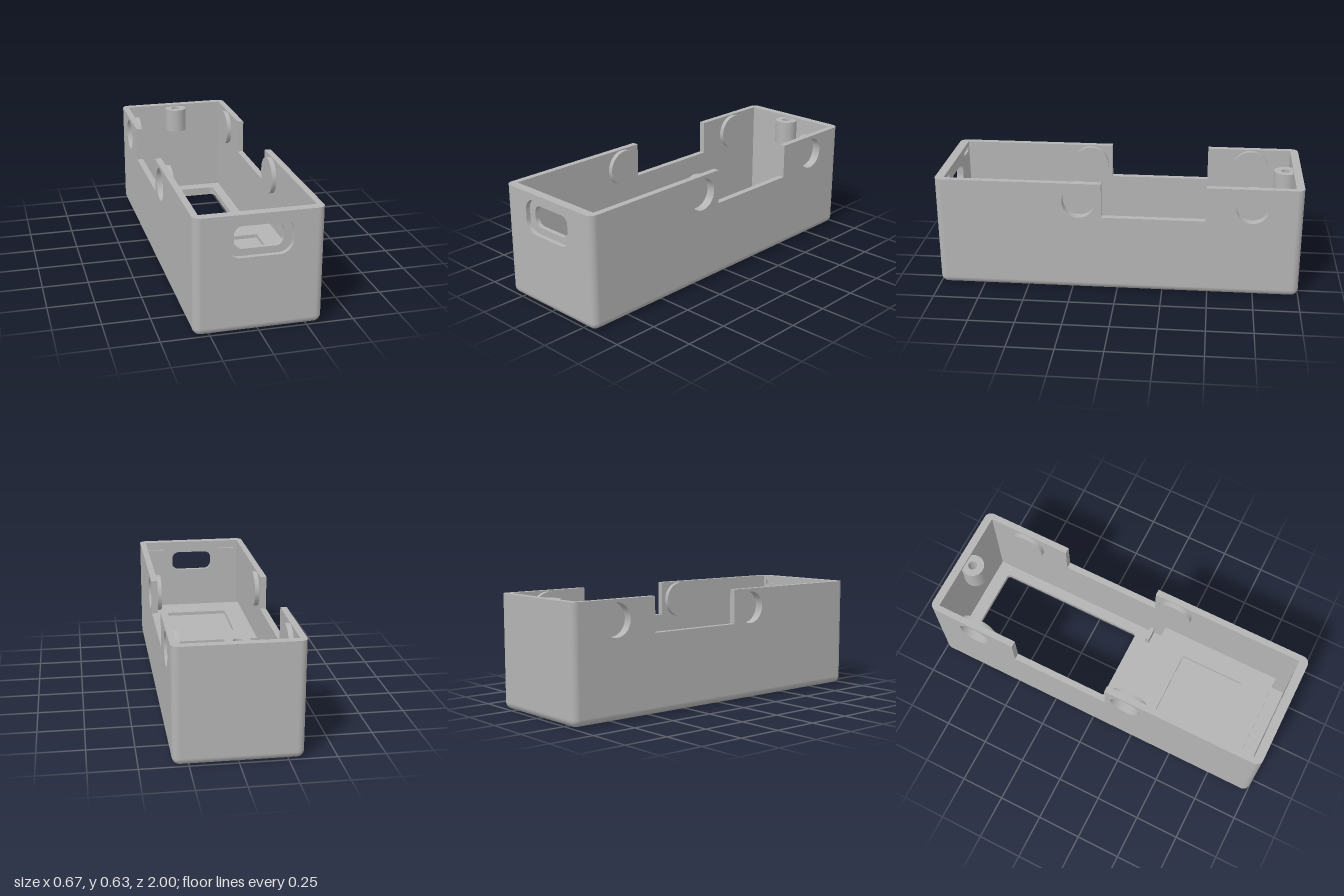
import * as THREE from 'three';
import { toCreasedNormals } from 'three/addons/utils/BufferGeometryUtils.js';

const W = 0.333, L = 1, H = 0.627, R = 0.04;   // outer half width, half length, height, fillet
const IW = 0.298;                              // inner half width
const Q = Math.PI / 2;

// Rounded rectangle from (x0,y0) to (x1,y1)
function rect(x0, y0, x1, y1, r = 0, Type = THREE.Path) {
  const p = new Type();
  if (!r) {
    p.moveTo(x0, y0).lineTo(x1, y0).lineTo(x1, y1).lineTo(x0, y1).closePath();
    return p;
  }
  p.absarc(x1 - r, y0 + r, r, -Q, 0);
  p.absarc(x1 - r, y1 - r, r, 0, Q);
  p.absarc(x0 + r, y1 - r, r, Q, 2 * Q);
  p.absarc(x0 + r, y0 + r, r, 2 * Q, 3 * Q);
  p.closePath();
  return p;
}
const circle = (x, y, r, Type = THREE.Path) => new Type().absarc(x, y, r, 0, Math.PI * 2);

function extrude(shape, holes, depth) {
  shape.holes.push(...holes);
  const g = new THREE.ExtrudeGeometry(shape, { depth, bevelEnabled: false, curveSegments: 14 });
  return toCreasedNormals(g, 0.5);
}

export function createModel() {
  const model = new THREE.Group();
  model.name = 'enclosure';
  const grey = new THREE.MeshStandardMaterial({ color: 0xb4b4b4 });
  grey.name = 'grey plastic';
  const add = (name, geometry) => {
    const mesh = new THREE.Mesh(geometry, grey);
    mesh.name = name;
    model.add(mesh);
    return mesh;
  };
  const box = (name, x0, x1, y0, y1, z0, z1) =>
    add(name, new THREE.BoxGeometry(x1 - x0, y1 - y0, z1 - z0))
      .position.set((x0 + x1) / 2, (y0 + y1) / 2, (z0 + z1) / 2);

  // Horizontal slab with holes, given in plan
  const plan = (x, z0, z1, r, Type) => rect(-x, -z1, x, -z0, r, Type);
  const slab = (name, x, z0, z1, y0, y1, holes) =>
    add(name, extrude(plan(x, z0, z1, 0, THREE.Shape), holes, y1 - y0).rotateX(-Q).translate(0, y0, 0));
  const pocket = () => plan(0.27, 0.2, 0.84, 0.06);

  // Floor with stepped window and underside pocket
  slab('lowerFloor', W - R, -L + R, L - R, 0, 0.03, [pocket(), plan(0.255, -0.91, 0.01, 0.03)]);
  slab('upperFloor', IW, -0.955, 0.95, 0.03, 0.06, [pocket(), plan(0.24, -0.88, 0, 0.02)]);

  // Raised block over the pocket, with a shallow recess on top
  slab('pocketWalls', IW, 0.165, 0.875, 0.06, 0.19, [pocket()]);
  slab('pocketCeiling', IW, 0.165, 0.875, 0.19, 0.205, []);
  slab('pocketTop', IW, 0.165, 0.875, 0.205, 0.225, [plan(0.183, 0.335, 0.705)]);

  // Side walls with notch, and round cups sunk from outside
  const cups = [[0.21, 0.52], [-0.73, 0.52]];
  for (const s of [1, -1]) {
    const side = s > 0 ? 'left' : 'right';
    const wall = new THREE.Shape();
    [[-L + R, R], [L - R, R], [L - R, H], [0.48, H], [0.48, 0.435], [-0.085, 0.435], [-0.085, H], [-L + R, H]]
      .forEach(([u, y], i) => (i ? wall.lineTo(u, y) : wall.moveTo(u, y)));
    wall.closePath();
    const toSide = (g, x0, x1) => g.rotateY(Q).translate(s > 0 ? x0 : -x1, 0, 0);
    add(side + 'Wall', toSide(extrude(wall, cups.map(([z, y]) => circle(-z, y, 0.09)), W - IW), IW, W));
    for (const [z, y] of cups) {
      add(side + 'CupRim', toSide(
        extrude(circle(-z, y, 0.102, THREE.Shape), [circle(-z, y, 0.09)], 0.014), 0.284, IW));
      add(side + 'CupBase', toSide(extrude(circle(-z, y, 0.102, THREE.Shape), [], 0.012), 0.272, 0.284));
    }
    // Low locating rib
    const xs = [s * 0.22, s * IW].sort((a, b) => a - b);
    box(side + 'Rib', xs[0], xs[1], 0.06, 0.12, 0.07, 0.095);
  }

  // Front wall in layers: outer recess, slot, inner latch slots
  const slot = () => rect(-0.126, 0.44, 0.126, 0.558, 0.042);
  const layer = (name, x, z0, z1, holes) =>
    add(name, extrude(rect(-x, R, x, H, 0, THREE.Shape), holes, z1 - z0).translate(0, 0, z0));
  layer('frontWallOuter', W - R, 0.975, L, [rect(-0.17, 0.403, 0.17, 0.595, 0.07)]);
  layer('frontWallMiddle', W - R, 0.965, 0.975, [slot()]);
  layer('frontWallInner', IW, 0.95, 0.965,
    [slot(), rect(-0.28, 0.575, -0.18, 0.6), rect(0.18, 0.575, 0.28, 0.6)]);

  // Back wall
  layer('backWallOuter', W - R, -L, -0.965, []);
  layer('backWallInner', IW, -0.965, -0.955, []);

  // Screw post hanging on the back wall
  const post = extrude(circle(0, 0.915, 0.065, THREE.Shape), [circle(0, 0.915, 0.025)], 0.14);
  add('screwPost', post.rotateX(-Q).translate(0, 0.475, 0));
  box('screwPostHoleBase', -0.03, 0.03, 0.48, 0.49, -0.945, -0.885);

  // Rounded vertical corners and bottom edges
  const quarter = (length, start) => new THREE.CylinderGeometry(R, R, length, 10, 1, false, start, Q);
  const corners = [[1, 1, 0, Q], [1, -1, Q, 2 * Q], [-1, -1, 2 * Q, 3 * Q], [-1, 1, 3 * Q, 0]];
  for (const [sx, sz, start, phi] of corners) {
    const x = sx * (W - R), z = sz * (L - R);
    add('cornerColumn', quarter(H - R, start)).position.set(x, (H + R) / 2, z);
    add('cornerFoot', new THREE.SphereGeometry(R, 10, 8, phi, Q, Q, Q)).position.set(x, R, z);
  }
  for (const s of [1, -1]) {
    add('sideBottomEdge', quarter(2 * (L - R), s > 0 ? 0 : 3 * Q).rotateX(Q)).position.set(s * (W - R), R, 0);
    add('endBottomEdge', quarter(2 * (W - R), s > 0 ? 3 * Q : 2 * Q).rotateZ(Q)).position.set(0, R, s * (L - R));
  }
  return model;
}
